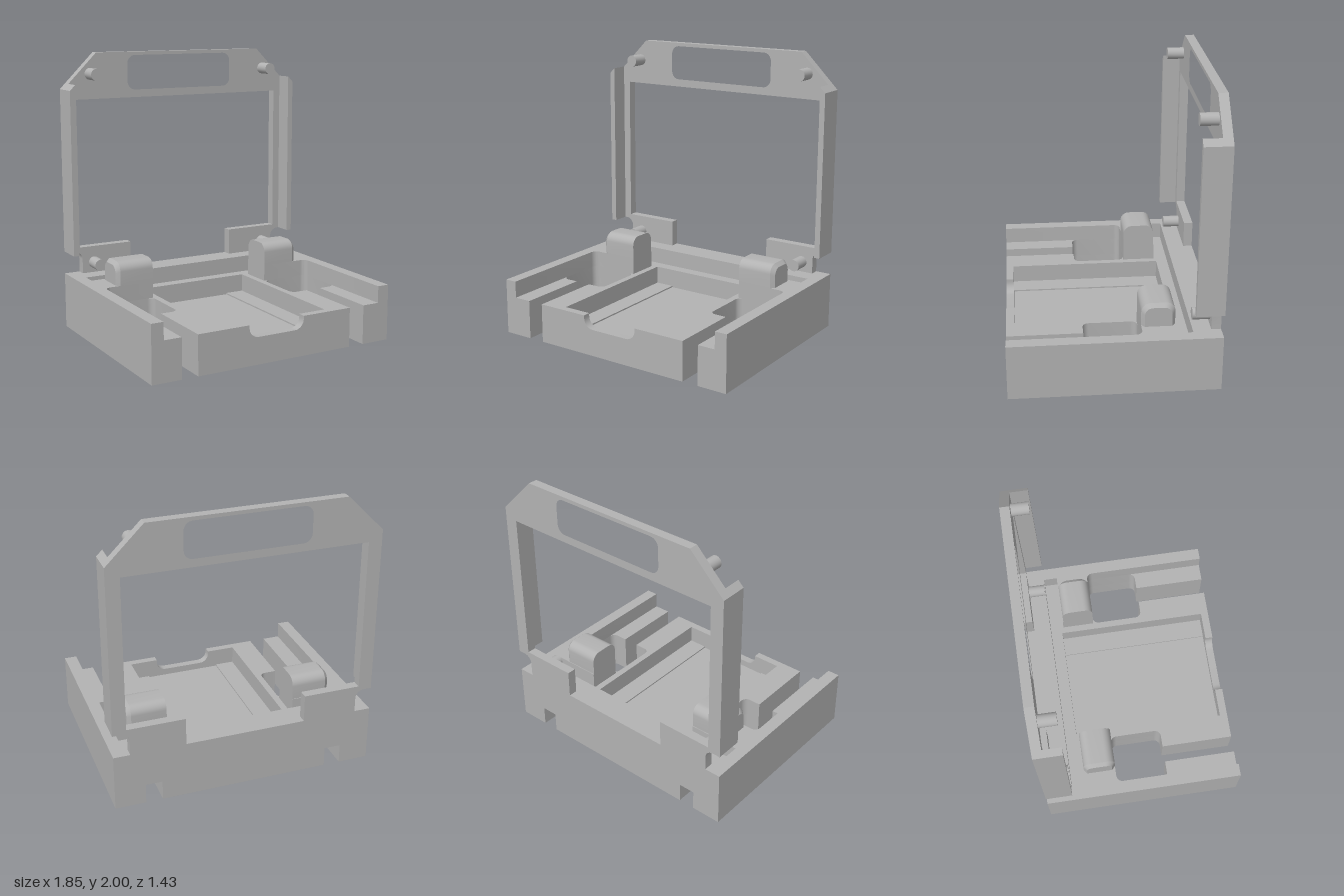
import * as THREE from 'three';
import { toCreasedNormals } from 'three/addons/utils/BufferGeometryUtils.js';

const BACK = -0.715, FRONT = 0.715, SIDE = 0.925;

// Closed path from [x, y, radius] corners; a radius rounds that corner.
function roundedPath(points, path = new THREE.Shape()) {
  const n = points.length;
  points.forEach(([x, y, r = 0], i) => {
    const p = new THREE.Vector2(x, y);
    const toward = ([a, b]) => new THREE.Vector2(a, b).sub(p).setLength(r).add(p);
    const start = r ? toward(points[(i + n - 1) % n]) : p;
    if (i === 0) path.moveTo(start.x, start.y);
    else path.lineTo(start.x, start.y);
    if (r) {
      const end = toward(points[(i + 1) % n]);
      const k = 0.55;
      const c1 = start.clone().lerp(p, k), c2 = end.clone().lerp(p, k);
      path.bezierCurveTo(c1.x, c1.y, c2.x, c2.y, end.x, end.y);
    }
  });
  path.closePath();
  return path;
}

// Completes a half outline that starts and ends on x = 0.
function mirrored(half) {
  const other = half.filter(p => p[0] !== 0).map(([x, y, r]) => [-x, y, r]).reverse();
  return [...half, ...other];
}

function extrude(shape, depth, steps = 1) {
  return new THREE.ExtrudeGeometry(shape, { depth, steps, bevelEnabled: false, curveSegments: 8 });
}

export function createModel() {
  const model = new THREE.Group();
  const grey = new THREE.MeshStandardMaterial({ color: 0xb2b2b2 });
  grey.name = 'plain grey';

  const base = new THREE.Group();
  base.name = 'base';
  const lid = new THREE.Group();
  lid.name = 'uprightFrame';
  model.add(base, lid);

  function add(parent, name, geometry) {
    const mesh = new THREE.Mesh(toCreasedNormals(geometry, 0.6), grey);
    mesh.name = name;
    parent.add(mesh);
    return mesh;
  }

  // Horizontal layer with an [x, z] outline
  function layer(name, outline, y0, y1) {
    const shape = roundedPath(outline.map(([x, z, r]) => [x, -z, r]));
    add(base, name, extrude(shape, y1 - y0).rotateX(-Math.PI / 2).translate(0, y0, 0));
  }

  // Upright plate with an [x, y] outline
  function plate(parent, name, shape, z0, z1) {
    add(parent, name, extrude(shape, z1 - z0).translate(0, 0, z0));
  }

  // Base: lower layer split by the two channels underneath
  const IN = 0.467, OUT = 0.838, R = 0.045, WALL = 0.66, FLOOR = 0.14, DECK = 0.28, RIM = 0.4;
  layer('lowerCentre', mirrored([
    [0, BACK], [0.595, BACK], [0.595, -0.19], [IN, -0.19, R], [IN, 0.19, R],
    [0.595, 0.19], [0.595, WALL], [0, WALL],
  ]), 0, FLOOR);
  for (const s of [1, -1]) {
    layer('lowerRail', [
      [0.712, BACK], [SIDE, BACK], [SIDE, FRONT], [0.712, FRONT],
      [0.712, 0.19], [OUT, 0.19, R], [OUT, -0.19, R], [0.712, -0.19],
    ].map(([x, z, r]) => [s * x, z, r]), 0, FLOOR);
  }

  // Middle layer with side openings, front slots and central tray
  layer('middleDeck', mirrored([
    [0, BACK], [SIDE, BACK], [SIDE, FRONT], [0.712, FRONT], [0.712, 0.19],
    [OUT, 0.19, R], [OUT, -0.19, R], [IN, -0.19, R], [IN, 0.19, R],
    [0.595, 0.19], [0.595, WALL], [0.42, WALL], [0.42, -0.44], [0, -0.44],
  ]), FLOOR, DECK);

  // Upper rim, hinge platforms and rear groove
  layer('upperRim', mirrored([
    [0, BACK], [SIDE, BACK], [SIDE, FRONT], [OUT, FRONT], [OUT, -0.19, R],
    [IN, -0.19], [IN, -0.425], [OUT, -0.425], [OUT, -0.525], [0, -0.525],
  ]), DECK, RIM);

  // Front wall of the tray with a finger notch
  plate(base, 'trayFrontWall', roundedPath(mirrored([
    [0, 0], [0.595, 0], [0.595, DECK], [0.213, DECK], [0.213, 0.19, 0.07], [0, 0.19],
  ])), WALL, FRONT);

  for (const s of [1, -1]) {
    // Low ledge along each side of the tray floor
    add(base, 'trayLedge', new THREE.BoxGeometry(0.14, 0.01, 1.1)
      .translate(s * 0.35, FLOOR + 0.005, 0.11));

    // Rounded block whose outer end tapers in
    const length = 0.745 - IN, taper = 0.027;
    const profile = roundedPath([[-0.115, 0], [0.115, 0], [0.115, 0.165, 0.065], [-0.115, 0.165, 0.065]]);
    const block = extrude(profile, length, 2);
    const pos = block.attributes.position;
    for (let i = 0; i < pos.count; i++) {
      const z = pos.getZ(i);
      if (z > length * 0.9) {
        pos.setX(i, pos.getX(i) * 0.8);
        pos.setY(i, pos.getY(i) * 0.85);
      } else if (z > length * 0.1) pos.setZ(i, length - taper);
    }
    block.rotateY(s * Math.PI / 2).translate(s * IN, RIM, -0.305);
    add(base, 'supportBlock', block);
  }

  // Upright frame with handle opening and two lower tabs
  const frame = roundedPath(mirrored([
    [0, 2], [0.67, 2], [SIDE, 1.745], [SIDE, 0.565], [0.81, 0.565, 0.06], [0.81, RIM],
    [0.425, RIM], [0.425, 0.595], [0.83, 0.595], [0.83, 1.67], [0, 1.67],
  ]));
  frame.holes.push(roundedPath([
    [-0.427, 1.725, 0.06], [-0.427, 1.975, 0.06], [0.427, 1.975, 0.06], [0.427, 1.725, 0.06],
  ], new THREE.Path()));
  plate(lid, 'framePlate', frame, BACK, -0.65);

  for (const s of [1, -1]) {
    // Side flange
    plate(lid, 'sideFlange', roundedPath([
      [s * 0.885, 0.565], [s * SIDE, 0.565], [s * SIDE, 1.745], [s * 0.885, 1.785],
    ]), -0.65, -0.525);

    // Locating pins
    for (const y of [1.85, 0.475]) {
      add(lid, 'pin', new THREE.CylinderGeometry(0.042, 0.042, 0.125, 24)
        .rotateX(Math.PI / 2).translate(s * 0.72, y, -0.5925));
    }
  }
  return model;
}
